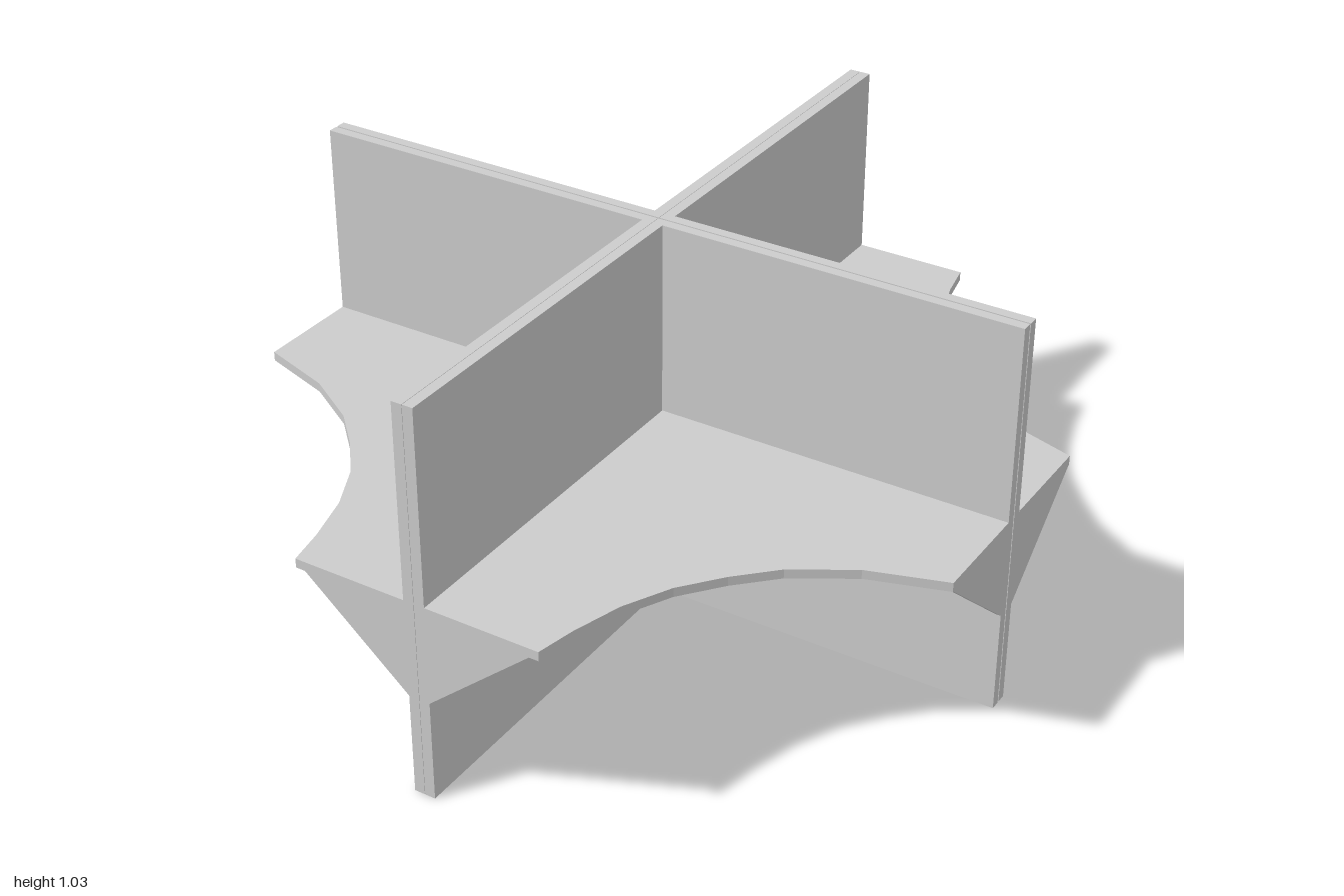
import * as THREE from 'three';

const HX = 0.956, HZ = 1, H = 1.035;          // half extents and height
const T = 0.028;                              // panel thickness
const GAP_X = 0.0005, GAP_Z = 0.002;          // half seams between the quarters
const SHELF_TOP = 0.53, SHELF_BOTTOM = 0.506;
const GUSSET_LOW = 0.27, GUSSET_T = 0.012;

const material = new THREE.MeshStandardMaterial({ color: 0xcccccc, flatShading: true });

// Concave outer edge of one shelf quarter, from the z end to the x end
const EDGE = [[0.327, HZ], [0.347, 0.9], [0.385, 0.77], [0.445, 0.65], [0.525, 0.55],
  [0.615, 0.46], [0.762, 0.37], [HX, 0.308]];

function extrude(points, depth) {
  const shape = new THREE.Shape(points.map(([x, y]) => new THREE.Vector2(x, y)));
  return new THREE.ExtrudeGeometry(shape, { depth, bevelEnabled: false });
}

function add(group, name, geometry) {
  const mesh = new THREE.Mesh(geometry, material);
  mesh.name = name;
  group.add(mesh);
}

// One quarter: two upright panels meeting in an L, a shelf and two gussets
function createQuarter(sx, sz) {
  const quarter = new THREE.Group();
  quarter.name = 'dividerQuarter';

  // Upright L-shaped wall
  const wall = extrude([[GAP_X, GAP_Z], [HX, GAP_Z], [HX, T], [T, T], [T, HZ], [GAP_X, HZ]]
    .map(([x, z]) => [x * sx, z * sz]), H);
  wall.rotateX(Math.PI / 2).translate(0, H, 0);
  add(quarter, 'uprightWall', wall);

  // Shelf with a scooped outer corner
  const shelf = extrude([[T, T], [T, HZ], ...EDGE, [HX, T]]
    .map(([x, z]) => [x * sx, z * sz]), SHELF_TOP - SHELF_BOTTOM);
  shelf.rotateX(Math.PI / 2).translate(0, SHELF_TOP, 0);
  add(quarter, 'shelf', shelf);

  // Thin triangular gussets under the shelf at both arm ends
  const triangle = (s, reach) => extrude(
    [[T * s, GUSSET_LOW], [reach * s, SHELF_BOTTOM], [T * s, SHELF_BOTTOM]], GUSSET_T);
  const zGusset = triangle(sx, 0.302);
  zGusset.translate(0, 0, sz > 0 ? HZ - GUSSET_T : -HZ);
  add(quarter, 'zEndGusset', zGusset);

  const xGusset = triangle(sz, 0.306);
  xGusset.rotateY(-Math.PI / 2).translate(sx > 0 ? HX : GUSSET_T - HX, 0, 0);
  add(quarter, 'xEndGusset', xGusset);

  return quarter;
}

export function createModel() {
  const model = new THREE.Group();
  model.name = 'crossDivider';
  for (const sx of [-1, 1]) for (const sz of [-1, 1]) model.add(createQuarter(sx, sz));
  return model;
}
